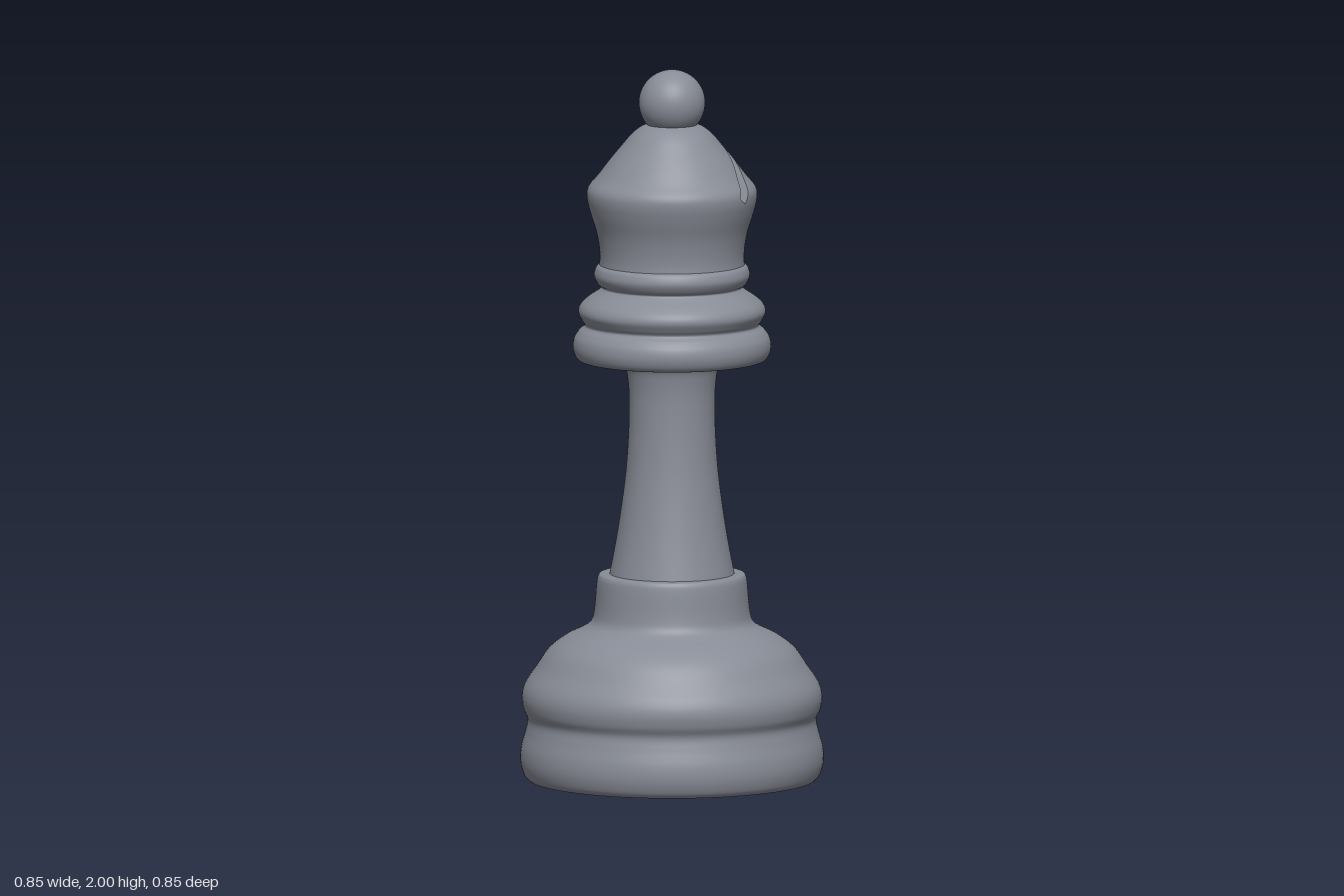
import * as THREE from 'three';

const SIDES = 96;

// Smooth curve through a few [radius, height] points
function profile(pairs, n) {
  return new THREE.SplineCurve(pairs.map(([r, y]) => new THREE.Vector2(r, y))).getPoints(n);
}

// Keep the part of a polygon where f(vertex) >= 0, blending positions and normals
function clip(poly, f) {
  const out = [];
  poly.forEach((a, i) => {
    const b = poly[(i + 1) % poly.length], fa = f(a), fb = f(b);
    if (fa >= 0) out.push(a);
    if ((fa >= 0) !== (fb >= 0)) out.push(a.map((v, k) => v + (b[k] - v) * fa / (fa - fb)));
  });
  return out;
}

// Slanted slot: origin at the middle of its floor, "up" runs along the slot, "across" over its width
const ORIGIN = [0.029, 1.647], UP = [0.568, 0.823], HALF = 0.016;
const along = (v) => (v[0] - ORIGIN[0]) * UP[0] + (v[1] - ORIGIN[1]) * UP[1];
const across = (v) => (v[0] - ORIGIN[0]) * UP[1] - (v[1] - ORIGIN[1]) * UP[0];
const slotPoint = (s, t) => [ORIGIN[0] + s * UP[1] + t * UP[0], ORIGIN[1] - s * UP[0] + t * UP[1]];

// Turned head with the slot removed from its skin
function slottedSkin(points) {
  const lathe = new THREE.LatheGeometry(points, SIDES).toNonIndexed();
  const p = lathe.attributes.position, n = lathe.attributes.normal;
  const pos = [], nor = [];
  const emit = (poly) => {
    for (let i = 1; i + 1 < poly.length; i++) {
      for (const v of [poly[0], poly[i], poly[i + 1]]) {
        pos.push(v[0], v[1], v[2]);
        nor.push(v[3], v[4], v[5]);
      }
    }
  };
  for (let i = 0; i < p.count; i += 3) {
    const tri = [i, i + 1, i + 2].map((k) =>
      [p.getX(k), p.getY(k), p.getZ(k), n.getX(k), n.getY(k), n.getZ(k)]);
    emit(clip(tri, (v) => across(v) - HALF));
    emit(clip(tri, (v) => -HALF - across(v)));
    const middle = clip(clip(tri, (v) => HALF - across(v)), (v) => across(v) + HALF);
    emit(clip(middle, (v) => -along(v)));
  }
  const g = new THREE.BufferGeometry();
  g.setAttribute('position', new THREE.Float32BufferAttribute(pos, 3));
  g.setAttribute('normal', new THREE.Float32BufferAttribute(nor, 3));
  return g;
}

// Both walls and the floor of the slot, as one strip reaching the skin at front and back
function slotWalls(points) {
  const radius = (y) => {
    const i = Math.max(1, points.findIndex((q) => q.y >= y));
    const a = points[i - 1], b = points[i];
    return a.x + (b.x - a.x) * (y - a.y) / (b.y - a.y);
  };
  const wall = (s) => {
    let lo = 0, hi = 0.23;
    for (let k = 0; k < 30; k++) {
      const mid = (lo + hi) / 2, [x, y] = slotPoint(s, mid);
      if (radius(y) > Math.abs(x)) lo = mid; else hi = mid;
    }
    return Array.from({ length: 33 }, (_, k) => slotPoint(s, lo * (1 - (1 - k / 32) ** 2)));
  };
  const path = [...wall(-HALF).reverse(), ...wall(HALF)];
  const pos = [];
  const depth = ([x, y]) => Math.sqrt(Math.max(0, radius(y) ** 2 - x * x));
  for (let i = 0; i + 1 < path.length; i++) {
    const a = path[i], b = path[i + 1], za = depth(a), zb = depth(b);
    pos.push(...a, -za, ...a, za, ...b, zb, ...a, -za, ...b, zb, ...b, -zb);
  }
  const g = new THREE.BufferGeometry();
  g.setAttribute('position', new THREE.Float32BufferAttribute(pos, 3));
  g.computeVertexNormals();
  return g;
}

export function createModel() {
  const group = new THREE.Group();
  const grey = new THREE.MeshStandardMaterial({ color: 0x888c96 });
  grey.name = 'slate grey';
  const add = (name, geometry) => {
    const mesh = new THREE.Mesh(geometry, grey);
    mesh.name = name;
    group.add(mesh);
    return mesh;
  };
  const turn = (name, pairs, n) => add(name, new THREE.LatheGeometry(profile(pairs, n), SIDES));

  // Base with a waist, shoulder and socket
  turn('base', [
    [0.402, 0], [0.415, 0.015], [0.424, 0.05], [0.422, 0.09], [0.41, 0.135], [0.404, 0.17],
    [0.416, 0.2], [0.42, 0.235], [0.41, 0.27], [0.38, 0.315], [0.345, 0.365], [0.3, 0.4],
    [0.25, 0.425], [0.226, 0.445], [0.217, 0.48], [0.211, 0.55], [0.206, 0.573], [0.196, 0.579],
    [0.16, 0.579],
  ], 110);
  add('baseUnderside', new THREE.CircleGeometry(0.402, SIDES)).rotation.x = Math.PI / 2;

  // Tapering stem
  turn('stem', [
    [0.176, 0.57], [0.152, 0.7], [0.131, 0.85], [0.122, 0.97], [0.12, 1.07], [0.124, 1.13],
    [0.132, 1.165], [0.15, 1.183],
  ], 50);

  // Stacked collar rings
  turn('collar', [
    [0.13, 1.18], [0.2, 1.18], [0.25, 1.181], [0.268, 1.19], [0.277, 1.215], [0.274, 1.243],
    [0.26, 1.265], [0.244, 1.28], [0.252, 1.295], [0.262, 1.317], [0.256, 1.338], [0.235, 1.358],
    [0.205, 1.378], [0.196, 1.388], [0.208, 1.398], [0.218, 1.42], [0.213, 1.442], [0.203, 1.452],
  ], 100);

  // Head with its slanted slot
  const head = profile([
    [0.203, 1.45], [0.202, 1.475], [0.205, 1.51], [0.213, 1.55], [0.229, 1.6], [0.238, 1.64],
    [0.234, 1.67], [0.207, 1.703], [0.175, 1.745], [0.142, 1.785], [0.112, 1.82], [0.082, 1.842],
    [0.05, 1.85],
  ], 60);
  add('head', slottedSkin(head));
  add('slot', slotWalls(head));

  // Ball on top
  add('finial', new THREE.SphereGeometry(0.093, 48, 32)).position.y = 1.907;

  return group;
}
